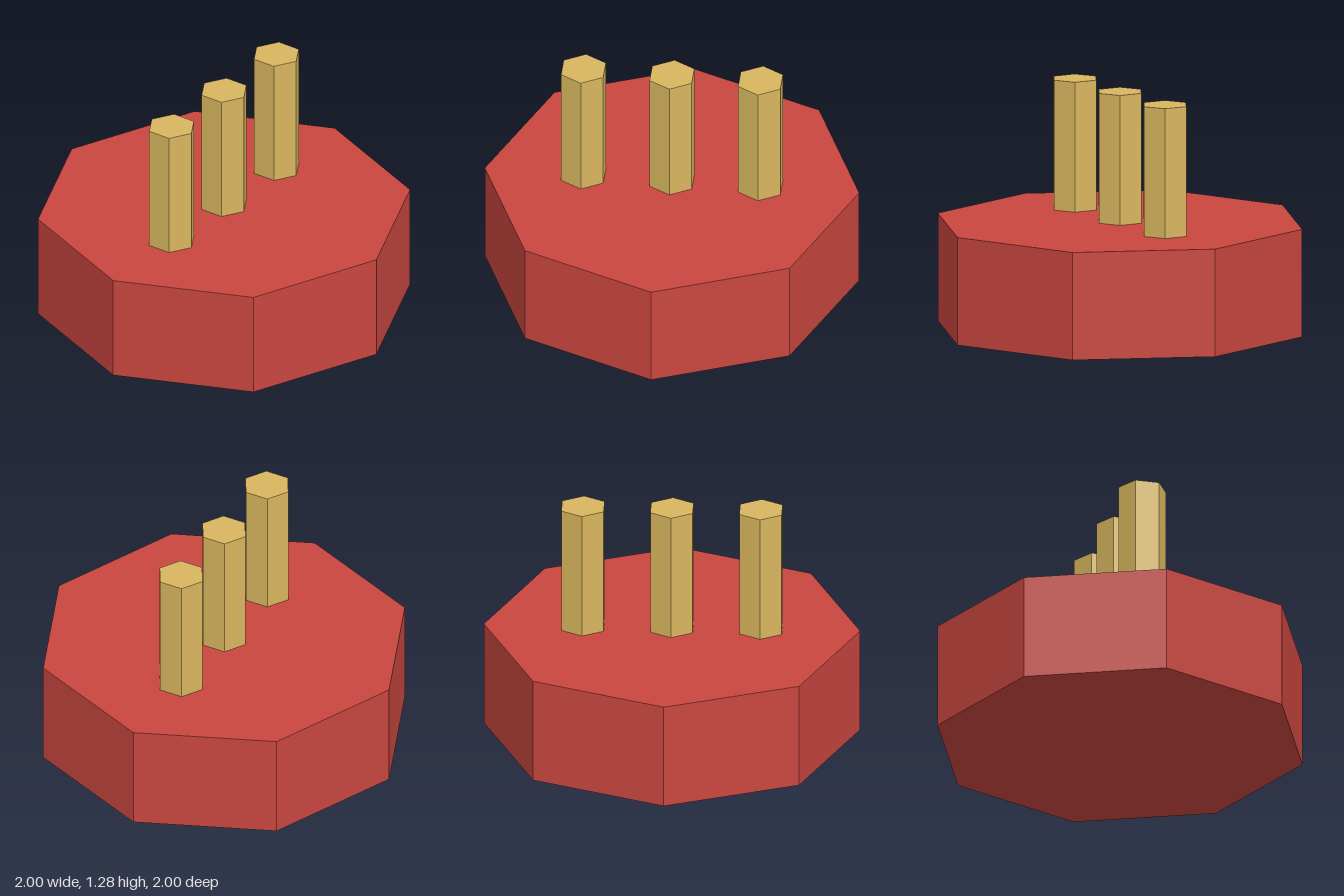
import * as THREE from 'three';

export function createModel() {
  const model = new THREE.Group();
  const red = new THREE.MeshStandardMaterial({ color: 0xc8463f, flatShading: true });
  red.name = 'red';
  const gold = new THREE.MeshStandardMaterial({ color: 0xd8b65e, flatShading: true });
  gold.name = 'gold';

  const baseHeight = 0.58, pinHeight = 0.7, pinRadius = 0.13, pinSpacing = 0.473;

  // Upright prism standing on the given height
  function addPrism(name, radius, height, sides, x, y, material) {
    const mesh = new THREE.Mesh(new THREE.CylinderGeometry(radius, radius, height, sides), material);
    mesh.name = name;
    mesh.position.set(x, y + height / 2, 0);
    model.add(mesh);
  }

  // Octagonal base
  addPrism('base', 1, baseHeight, 8, 0, 0, red);

  // Row of three hexagonal pins
  ['rightPin', 'middlePin', 'leftPin'].forEach((name, i) => {
    addPrism(name, pinRadius, pinHeight, 6, (i - 1) * pinSpacing, baseHeight, gold);
  });

  return model;
}
